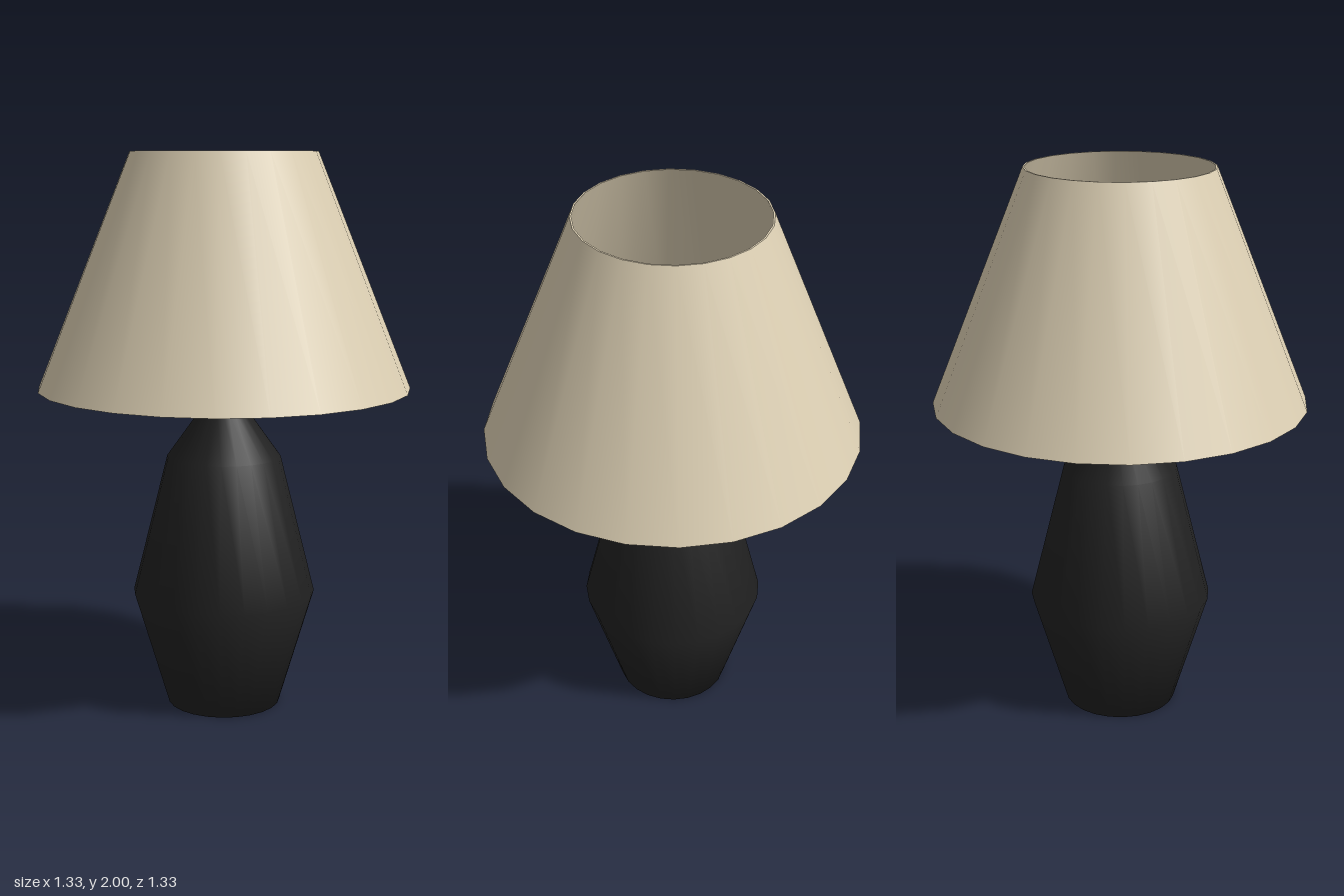
import * as THREE from 'three';

const SIDES = 24;

const blackCeramic = new THREE.MeshStandardMaterial({ color: 0x222222 });
blackCeramic.name = 'black ceramic';
const creamFabric = new THREE.MeshStandardMaterial({ color: 0xdccfb3 });
creamFabric.name = 'cream fabric';

// Revolves a list of [radius, height] pairs around the y axis
function turned(name, profile, material) {
  const points = profile.map(([r, y]) => new THREE.Vector2(r, y));
  const mesh = new THREE.Mesh(new THREE.LatheGeometry(points, SIDES), material);
  mesh.name = name;
  return mesh;
}

export function createModel() {
  const lamp = new THREE.Group();
  lamp.name = 'tableLamp';

  // Base: faceted vase profile with a narrow neck
  lamp.add(turned('base', [
    [0, 0], [0.205, 0], [0.33, 0.42], [0.205, 0.92], [0.083, 1.09], [0.083, 1.235],
  ], blackCeramic));
  lamp.add(turned('neckCap', [[0.083, 1.235], [0, 1.235]], blackCeramic));

  // Shade: thin open cone, each wall and rim separate so the edges stay crisp
  const shade = new THREE.Group();
  shade.name = 'shade';
  const bottom = 1.17, top = 2, wall = 0.006;
  const corners = [
    [0.665, bottom], [0.33, top], [0.33 - wall, top], [0.665 - wall, bottom],
  ];
  ['outerWall', 'topRim', 'innerWall', 'bottomRim'].forEach((name, i) => {
    shade.add(turned(name, [corners[i], corners[(i + 1) % 4]], creamFabric));
  });
  lamp.add(shade);

  return lamp;
}
